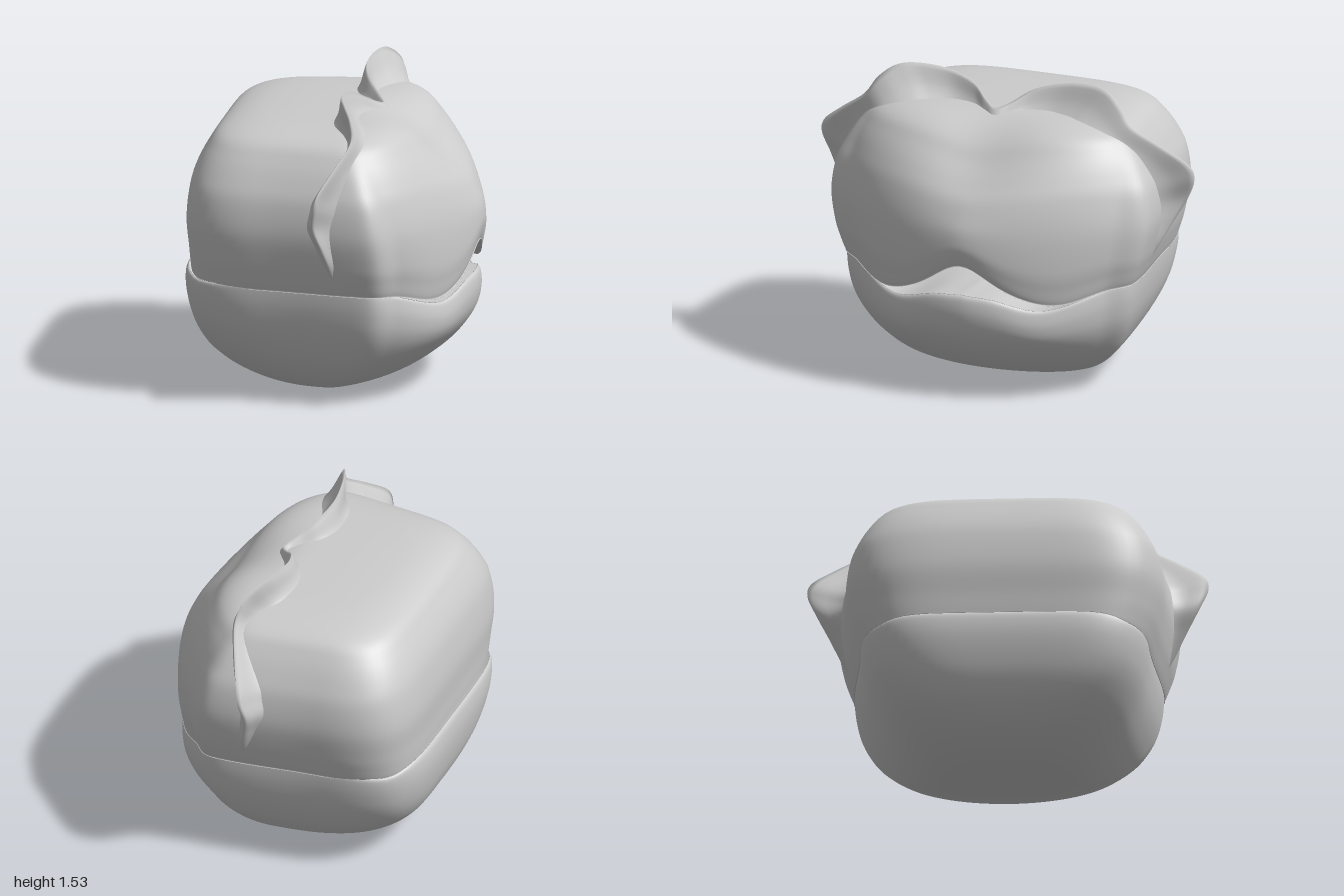
import * as THREE from 'three';

const { smoothstep, lerp } = THREE.MathUtils;
const bell = (d, w) => Math.exp(-(d / w) * (d / w));

// Smooth grid of points; u may wrap round into a closed ring
function grid(name, nu, nv, wrap, point) {
  const pos = [], index = [], cols = wrap ? nu : nu + 1;
  for (let j = 0; j <= nv; j++)
    for (let i = 0; i < cols; i++) pos.push(...point(i / nu, j / nv));
  for (let j = 0; j < nv; j++)
    for (let i = 0; i < nu; i++) {
      const k = (i + 1) % cols, a = j * cols + i, b = j * cols + k;
      index.push(a, a + cols, b, b, a + cols, b + cols);
    }
  const geo = new THREE.BufferGeometry();
  geo.setAttribute('position', new THREE.Float32BufferAttribute(pos, 3));
  geo.setIndex(index);
  geo.computeVertexNormals();
  const mesh = new THREE.Mesh(geo, new THREE.MeshStandardMaterial({ color: 0xcccccc, side: THREE.DoubleSide }));
  mesh.name = name;
  return mesh;
}

// Catmull-Rom through the rows of a table, t in 0..1
function sample(rows, t) {
  const last = rows.length - 1, f = t * last, i = Math.min(Math.floor(f), last - 1), s = f - i;
  const p = k => rows[Math.max(0, Math.min(last, k))];
  return rows[0].map((_, c) => {
    const a = p(i - 1)[c], b = p(i)[c], d = p(i + 1)[c], e = p(i + 2)[c];
    return b + 0.5 * s * (d - a + s * (2 * a - 5 * b + 4 * d - e + s * (3 * (b - d) + e - a)));
  });
}

// Shell of horizontal rings: boxy at the back (-x), tapering to a snout (+x)
// rows: y, back x, front x, half width, squareness of the front and of the back
function shell(name, rows, bend) {
  return grid(name, 144, (rows.length - 1) * 6, true, (u, v) => {
    const [y, x0, x1, w, front, back] = sample(rows, v);
    const a = u * Math.PI * 2, c = Math.cos(a), s = Math.sin(a);
    const e = lerp(back, front, smoothstep(c, -0.35, 0.45)), mid = x0 + (x1 - x0) * 0.64;
    const r = 1 / Math.pow(Math.abs(c) ** e + Math.abs(s) ** e, 1 / e);
    const x = mid + r * c * (c < 0 ? mid - x0 : x1 - mid);
    const z = r * s * w * (1 - 0.06 * smoothstep(-x, -0.25, 0.3));
    return [x, y + bend(x, y, Math.abs(z)), z];
  });
}

const HEAD = [
  [0.61, 0, 0, 0, 1.7, 4.5], [0.605, -0.5, 0.45, 0.6, 1.7, 5], [0.595, -0.66, 0.67, 0.755, 1.7, 5.3],
  [0.6, -0.678, 0.69, 0.768, 1.7, 5.5], [0.66, -0.685, 0.707, 0.792, 1.65, 5.5],
  [0.75, -0.69, 0.715, 0.82, 1.65, 5.5], [0.9, -0.7, 0.7, 0.845, 1.65, 5.5],
  [1.05, -0.685, 0.65, 0.83, 1.7, 5.5], [1.15, -0.66, 0.58, 0.79, 1.9, 5.3],
  [1.25, -0.61, 0.49, 0.73, 2.2, 5], [1.325, -0.55, 0.415, 0.66, 2.4, 4.5],
  [1.367, -0.43, 0.32, 0.53, 2.5, 4], [1.382, -0.25, 0.19, 0.33, 2.5, 3.5], [1.385, 0, 0, 0, 2.5, 3],
];

const JAW = [
  [0, -0.1, -0.1, 0, 2, 2.4], [0.003, -0.22, 0.04, 0.28, 2, 2.4], [0.03, -0.37, 0.2, 0.42, 2, 2.6],
  [0.1, -0.51, 0.39, 0.54, 1.95, 3], [0.2, -0.615, 0.535, 0.635, 1.9, 3.6], [0.3, -0.67, 0.62, 0.695, 1.85, 4.2],
  [0.4, -0.7, 0.67, 0.735, 1.8, 4.8], [0.5, -0.715, 0.69, 0.757, 1.75, 5.2],
  [0.58, -0.712, 0.687, 0.765, 1.7, 5.5], [0.61, -0.697, 0.67, 0.762, 1.7, 5.5],
  [0.607, -0.67, 0.64, 0.74, 1.7, 5.3], [0.6, -0.4, 0.35, 0.45, 1.7, 5], [0.595, 0, 0, 0, 1.7, 4.5],
];

// Arched upper lip, and a shallow dip between the two brow lobes
function headBend(x, y, z) {
  const lip = 0.12 * bell(z, 0.17) - 0.07 * bell(z - 0.45, 0.2);
  const brow = -0.07 * bell(z, 0.25) * smoothstep(x, 0.1, 0.5) * smoothstep(y, 0.8, 1.35);
  return lip * smoothstep(x, 0.18, 0.54) * (1 - smoothstep(y, 0.58, 1.02)) + brow;
}

// Lower lip wave at the front, slightly raised rim at the back
function jawBend(x, y, z) {
  const lip = -0.12 * bell(z - 0.38, 0.25) - 0.04 * bell(z, 0.15);
  return (lip * smoothstep(x, 0.1, 0.47) + 0.03 * smoothstep(-x, 0.6, 0.7)) * smoothstep(y, 0.15, 0.64);
}

// Free edge of the crest from the lower side to the centre line: x, y, z, height
const EDGE = [
  [0.11, 0.64, 0.765, 0.03], [0.09, 0.75, 0.828, 0.04], [0.06, 0.86, 0.885, 0.08], [0.03, 0.98, 0.95, 0.14],
  [0.045, 1.09, 0.992, 0.2], [0.065, 1.17, 0.967, 0.2], [0.125, 1.27, 0.845, 0.15], [0.18, 1.37, 0.71, 0.13],
  [0.165, 1.46, 0.645, 0.17], [0.12, 1.52, 0.56, 0.19], [0.085, 1.53, 0.45, 0.19], [0.07, 1.513, 0.3, 0.17],
  [0.105, 1.475, 0.16, 0.13], [0.17, 1.42, 0.07, 0.09], [0.21, 1.393, 0, 0.07],
];

// Wavy fin whose concave flanks flare out and sink into the head, deeper in front
function crest() {
  const path = [...EDGE, ...EDGE.slice(0, -1).reverse().map(([x, y, z, h]) => [x, y, -z, h])];
  return grid('crest', 168, 28, false, (u, v) => {
    const [x, y, z, h] = sample(path, u);
    const side = v * 2 - 1, depth = Math.abs(side);
    const drop = h * (1 - (1 - depth) ** 2) + (side > 0 ? 0.09 : 0.02) * depth ** 3;
    const sink = drop / Math.hypot(y - 0.75, z);
    const flare = (side > 0 ? 0.16 : 0.1) * depth ** 1.9;
    const spread = Math.sign(side) * (0.014 * Math.sqrt(Math.min(1, depth * 5)) + flare);
    const centre = x + (0.11 - x) * 0.4 * depth * depth;
    return [centre + spread, y - (y - 0.75) * sink, z * (1 - sink)];
  });
}

export function createModel() {
  const group = new THREE.Group();
  group.name = 'creatureHead';
  group.add(shell('upperHead', HEAD, headBend), shell('lowerJaw', JAW, jawBend), crest());
  return group;
}
